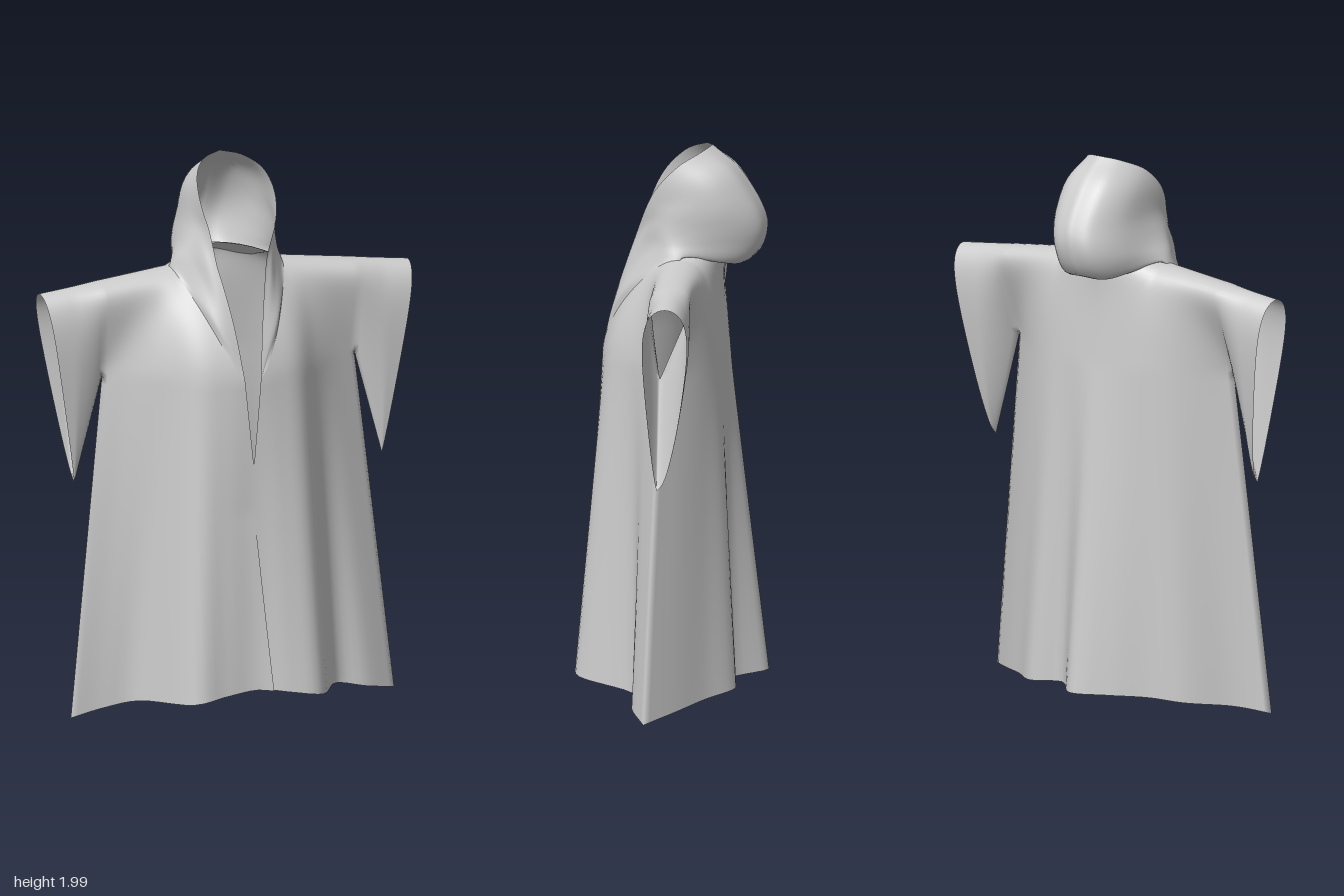
import * as THREE from 'three';
import { mergeGeometries, mergeVertices } from 'three/addons/utils/BufferGeometryUtils.js';

const { lerp, clamp } = THREE.MathUtils;
const PIT_X = 0.48, PIT_Y = 1.25;      // armpit
const TIP_X = 0.585, TIP_Y = 0.865;    // hanging sleeve point
const HEM_X = 0.615;
const NECK_X = 0.21;

// smooth function through evenly spaced values over s = -1..1
function profile(values) {
  const times = values.map((_, i) => -1 + (2 * i) / (values.length - 1));
  const curve = new THREE.CubicInterpolant(times, values, 1);
  return s => curve.evaluate(clamp(s, -1, 1))[0];
}

// depth of the cloth across the width, at the hem and at chest height
const hemZ = {
  front: profile([0.045, 0.05, 0.095, 0.3, 0.305, 0.285, 0.325, 0.315, 0.11, 0.1, 0.045]),
  back: profile([0.045, -0.02, -0.14, -0.195, -0.28, -0.335, -0.22, -0.245, -0.15, -0.06, 0.045]),
};
const chestZ = {
  front: profile([0, 0.05, 0.125, 0.215, 0.245, 0.255, 0.245, 0.215, 0.125, 0.055, 0]),
  back: profile([0, -0.08, -0.14, -0.175, -0.19, -0.195, -0.19, -0.175, -0.14, -0.08, 0]),
};

// height of the shoulder line, and x of the cuff edge
const topY = x => (x < 0.2 ? 1.62 + 0.045 * (1 - (x / 0.2) ** 2) : lerp(1.62, 1.56, (x - 0.2) / 0.5));
const cuffX = y => lerp(TIP_X, 0.7, (y - TIP_Y) / (1.56 - TIP_Y));
const neckX = v => lerp(0.03, NECK_X, Math.pow(v, 0.8));
const ease = w => Math.sin((Math.PI / 2) * clamp(w, 0, 1));

// indexed grid from fn(u, v) -> [x, y, z]
function sheet(fn, nu, nv, flip) {
  const pos = [], idx = [];
  for (let j = 0; j <= nv; j++) {
    for (let i = 0; i <= nu; i++) {
      pos.push(...fn(i / nu, j / nv));
      if (i === nu || j === nv) continue;
      const a = j * (nu + 1) + i, b = a + 1, c = a + nu + 1, d = c + 1;
      if (flip) idx.push(a, d, b, a, c, d);
      else idx.push(a, b, d, a, d, c);
    }
  }
  const g = new THREE.BufferGeometry();
  g.setAttribute('position', new THREE.Float32BufferAttribute(pos, 3));
  g.setIndex(idx);
  return g;
}

// columns of a panel; the back adds a strip from the spine to the neck line
function column(face, u, inner, outer) {
  if (face === 'front') return lerp(inner, outer, u);
  return u < 1 / 6 ? inner * u * 6 : lerp(inner, outer, (u - 1 / 6) * 1.2);
}

// skirt of the robe, from hem to chest
function bodyPoint(face, side, u, v) {
  const y0 = lerp(0.1, PIT_Y, v);
  const overlap = face === 'front' && side < 0 ? Math.max(0, 1 - y0 / 0.74) : 0;
  let inner = 0.03;
  if (face === 'front') inner = 0.03 * Math.max(0, (y0 - 0.93) / (PIT_Y - 0.93)) - 0.065 * overlap;
  const half = lerp(HEM_X, PIT_X, v);
  const x = column(face, u, inner, half);
  const s = (side * x) / half;
  const hem = face === 'front' ? 0.01 + 0.11 * (1 - Math.abs(s) ** 1.3) : 0.01 + 0.06 * (1 - s * s);
  const z = lerp(hemZ[face](s), chestZ[face](s), v)
    + 0.018 * Math.sqrt(overlap) * clamp(1 - x / 0.12, 0, 1);
  return [side * x, lerp(hem, PIT_Y, v), z];
}

// depth of yoke and sleeve: chest shape blended into a teardrop sleeve
function upperZ(face, side, x, y, v) {
  const dir = face === 'front' ? 1 : -1;
  const k = clamp((x - PIT_X) / (TIP_X - PIT_X), 0, 1);
  const low = lerp(PIT_Y, TIP_Y, k);
  const q = clamp((y - low) / (topY(x) - low), 0, 1);
  // the sleeve gets fuller towards the cuff
  const tube = 0.1 * q ** lerp(1, 0.6, k) * Math.sqrt(Math.max(0, 1 - q ** 8));
  const fall = face === 'front'
    ? Math.max(0, 1 - v ** 1.8) ** 0.7
    : (1 - 0.4 * v) * Math.sqrt(Math.max(0, 1 - v ** 4));
  const chest = x < PIT_X ? Math.max(0, dir * chestZ[face]((side * x) / PIT_X)) * fall : 0;
  let z = -0.042 * q ** lerp(1, 0.5, k) + dir * Math.cbrt(chest ** 3 + tube ** 3);
  if (face === 'back') z -= 0.08 * v ** 4 * Math.max(0, 1 - x / NECK_X);
  return z;
}

function yokePoint(face, side, u, w) {
  const v = ease(w);
  const x = column(face, u, neckX(v), PIT_X);
  const y = lerp(PIT_Y, topY(x), v);
  return [side * x, y, upperZ(face, side, x, y, v)];
}

function sleeveTopPoint(face, side, u, w) {
  const v = ease(w);
  const x = lerp(PIT_X, cuffX(lerp(PIT_Y, 1.56, v)), u);
  const y = lerp(PIT_Y, topY(x), v);
  return [side * x, y, upperZ(face, side, x, y, v)];
}

function sleeveDropPoint(face, side, u, v) {
  const y = lerp(TIP_Y, PIT_Y, v);
  const x = lerp(lerp(TIP_X, PIT_X, v), cuffX(y), u);
  return [side * x, y, upperZ(face, side, x, y, 0)];
}

// hood: curves running from the lapel point, over the side, to the middle of the back
const curveOf = pts => new THREE.CatmullRomCurve3(pts.map(p => new THREE.Vector3(...p)), false, 'catmullrom');
const hoodCurves = [
  // lower back roll
  [[0.03, 1.25, 0.255], [0.12, 1.45, 0.19], [0.178, 1.59, 0.06], [0.2, 1.64, -0.04],
    [0.14, 1.6, -0.17], [0.08, 1.58, -0.24], [0, 1.59, -0.28]],
  // widest line
  [[0.03, 1.25, 0.255], [0.105, 1.46, 0.195], [0.155, 1.65, 0.065], [0.175, 1.7, -0.02],
    [0.145, 1.7, -0.2], [0.08, 1.71, -0.31], [0, 1.73, -0.335]],
  // crown
  [[0.03, 1.25, 0.255], [0.08, 1.46, 0.2], [0.13, 1.68, 0.1], [0.15, 1.79, 0.005],
    [0.145, 1.86, -0.14], [0.085, 1.9, -0.22], [0, 1.9, -0.25]],
  // face opening edge
  [[0.03, 1.25, 0.255], [0.055, 1.45, 0.205], [0.095, 1.66, 0.135], [0.14, 1.84, 0.065],
    [0.13, 1.94, -0.02], [0.075, 1.985, -0.1], [0, 2, -0.14]],
].map(curveOf);

// neck seam shared with the yoke
function neckPoint(t) {
  const v = ease(2 * t);
  const x = t < 0.5 ? neckX(v) : NECK_X * (2 - 2 * t);
  const y = lerp(PIT_Y, topY(x), v);
  return new THREE.Vector3(x, y, upperZ(t < 0.5 ? 'front' : 'back', 1, x, y, v));
}

function hoodPoint(side, u, v) {
  const across = new THREE.CatmullRomCurve3(
    [neckPoint(u), ...hoodCurves.map(c => c.getPoint(u))], false, 'catmullrom');
  const p = across.getPoint(v);
  const lean = 0.02 * clamp((p.y - 1.66) / 0.12, 0, 1); // hood leans slightly to its left
  return [side * p.x + lean, p.y, p.z];
}

function clothMesh(name, parts, material) {
  const geometry = mergeVertices(mergeGeometries(parts), 1e-4);
  geometry.computeVertexNormals();
  const mesh = new THREE.Mesh(geometry, material);
  mesh.name = name;
  return mesh;
}

export function createModel() {
  const group = new THREE.Group();
  group.name = 'hoodedRobe';
  const cloth = new THREE.MeshStandardMaterial({ color: 0xcccccc, side: THREE.DoubleSide });

  const robe = [], hood = [];
  for (const side of [1, -1]) {
    for (const face of ['front', 'back']) {
      const flip = (face === 'back') !== (side < 0);
      const cols = face === 'front' ? 25 : 30;
      const add = (fn, nu, nv) => robe.push(sheet((u, v) => fn(face, side, u, v), nu, nv, flip));
      add(bodyPoint, cols, 40);
      add(yokePoint, cols, 20);
      add(sleeveTopPoint, 12, 20);
      add(sleeveDropPoint, 12, 16);
    }
    hood.push(sheet((u, v) => hoodPoint(side, u, v), 40, 24, side < 0));
  }
  group.add(clothMesh('robeWithSleeves', robe, cloth), clothMesh('hood', hood, cloth));
  return group;
}
